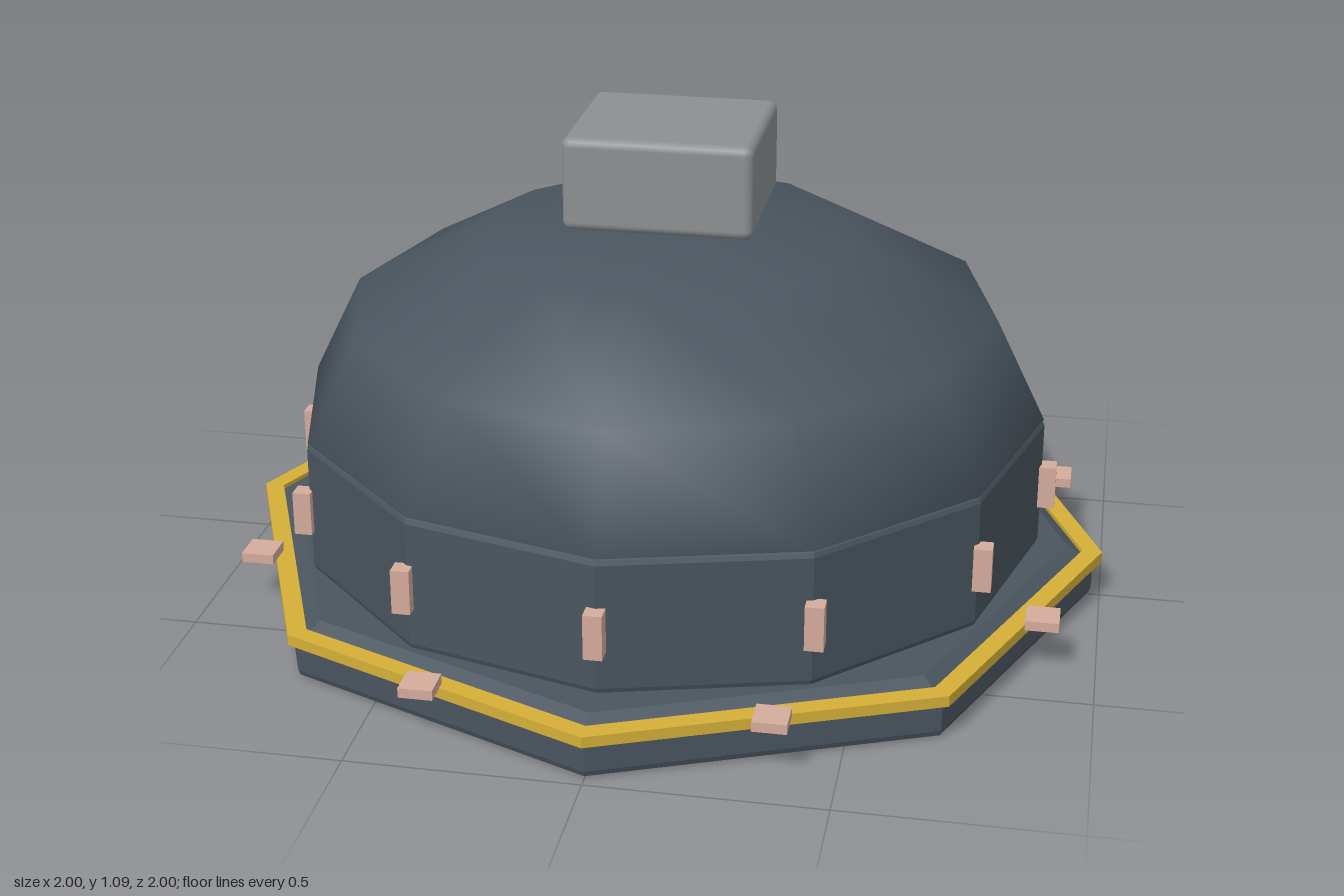
import * as THREE from 'three';
import { RoundedBoxGeometry } from 'three/addons/geometries/RoundedBoxGeometry.js';

const flat = (name, hex) => {
  const m = new THREE.MeshStandardMaterial({ color: hex });
  m.name = name;
  return m;
};

export function createModel() {
  const slate = flat('slate', 0x4a555f);
  const gold = flat('gold', 0xd4af37);
  const copper = flat('paleCopper', 0xd4ab9c);
  const grey = flat('grey', 0x8c9092);

  const model = new THREE.Group();
  const add = (name, geometry, material, x = 0, y = 0, z = 0, parent = model) => {
    const mesh = new THREE.Mesh(geometry, material);
    mesh.name = name;
    mesh.position.set(x, y, z);
    parent.add(mesh);
    return mesh;
  };

  // Faceted prism turned from a [radius, height] profile, listed from bottom to top
  const prism = (profile, sides) => {
    const points = profile.map(([r, y]) => new THREE.Vector2(r, y));
    const g = new THREE.LatheGeometry(points, sides).toNonIndexed();
    g.computeVertexNormals();
    return g;
  };

  // Eight-sided base slab with softened edges
  add('base', prism([
    [0, 0], [0.962, 0], [0.975, 0.005], [0.98, 0.018], [0.98, 0.09],
    [0.955, 0.1], [0.92, 0.12], [0, 0.12],
  ], 8), slate);

  // Gold band around the top edge of the base
  add('trimRing', prism([
    [0.955, 0.085], [1, 0.085], [1, 0.11], [0.955, 0.11], [0.955, 0.085],
  ], 8), gold);

  // Twelve-sided drum with softened edges
  add('drum', prism([
    [0, 0.12], [0.838, 0.12], [0.848, 0.124], [0.852, 0.135],
    [0.852, 0.415], [0.848, 0.425], [0.838, 0.43], [0, 0.43],
  ], 12), slate);

  // Smooth low dome
  const dome = new THREE.SphereGeometry(0.85, 12, 3, 0, Math.PI * 2, 0, Math.PI / 2);
  dome.scale(1, 0.46 / 0.85, 1);
  add('dome', dome, slate, 0, 0.43, 0);

  // Block on the crown
  add('topBlock', new RoundedBoxGeometry(0.42, 0.21, 0.38, 3, 0.02), grey, 0, 0.983, 0);

  // Upright studs at the corners of the drum
  const studs = new THREE.Group();
  studs.name = 'studs';
  model.add(studs);
  const studShape = new THREE.BoxGeometry(0.04, 0.1, 0.04);
  for (let i = 0; i < 12; i++) {
    const a = (i * Math.PI) / 6;
    add('stud', studShape, copper, 0.865 * Math.cos(a), 0.27, 0.865 * Math.sin(a), studs);
  }

  // Flat pads at the middle of each base side
  const pads = new THREE.Group();
  pads.name = 'pads';
  model.add(pads);
  const padShape = new THREE.BoxGeometry(0.073, 0.022, 0.073);
  for (let i = 0; i < 8; i++) {
    const a = ((i + 0.5) * Math.PI) / 4;
    add('pad', padShape, copper, 0.953 * Math.cos(a), 0.121, 0.953 * Math.sin(a), pads);
  }

  return model;
}
